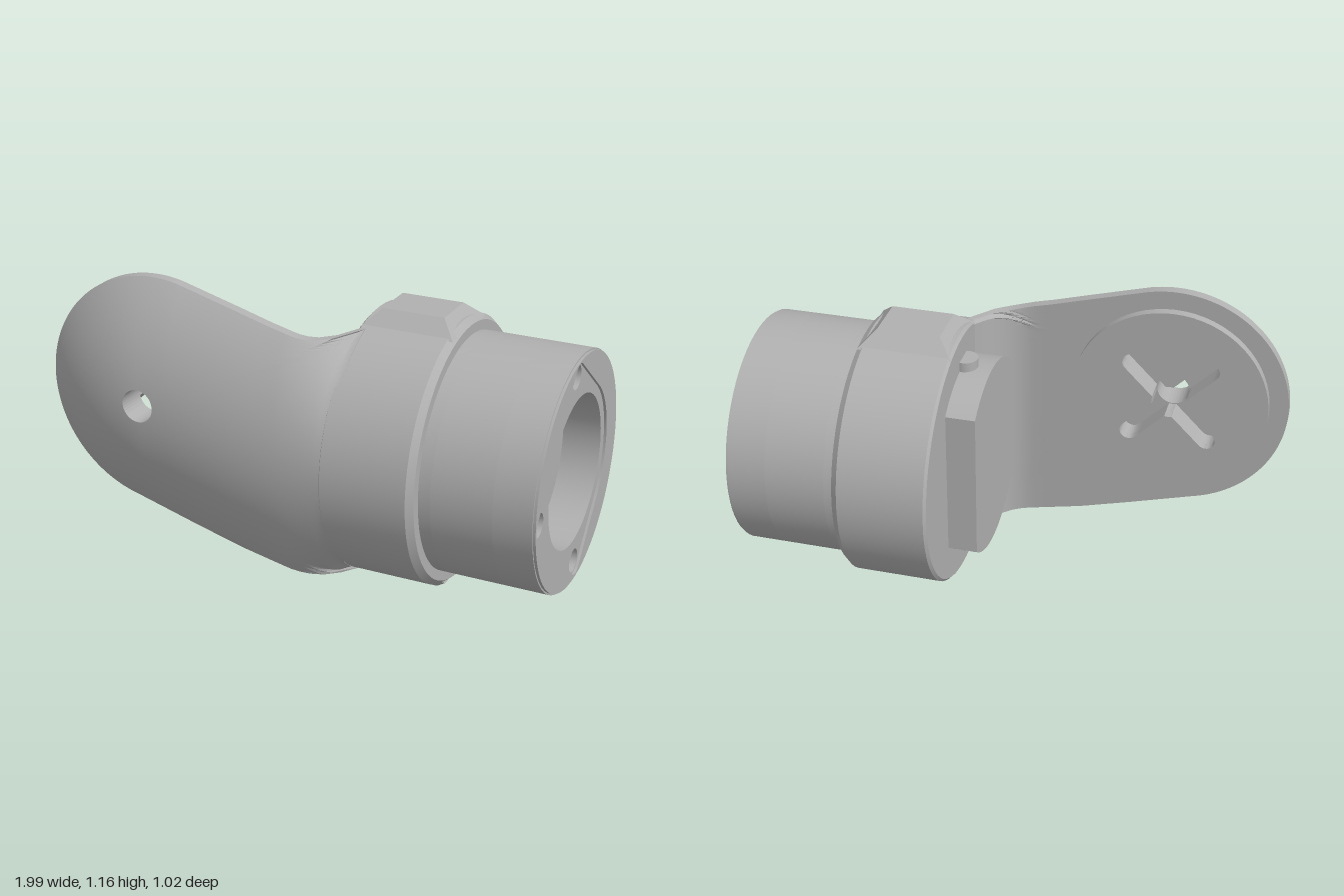
import * as THREE from 'three';
import { toCreasedNormals } from 'three/addons/utils/BufferGeometryUtils.js';

const AXIS_Y = 0.545;                       // height of the barrel axis
const PIVOT = { x: -0.545, y: 0.71, r: 0.455 }; // round end of the arm
const BOLT_R = 0.063;

const lerp = THREE.MathUtils.lerp;
function table(points, x) {
  for (let i = 1; i < points.length; i++) {
    const [x0, y0] = points[i - 1], [x1, y1] = points[i];
    if (x <= x1) return lerp(y0, y1, (x - x0) / (x1 - x0));
  }
  return points[points.length - 1][1];
}
const discHalf = (x) => Math.sqrt(Math.max(0, PIVOT.r ** 2 - (x - PIVOT.x) ** 2));

// Arm silhouette, rim and curved faces
const TOP = [[-0.43, 1.15], [-0.2, 1.087], [-0.08, 1.053], [0, 1.033], [0.05, 1.02], [0.1, 1.015], [0.15, 1.018], [0.19, 1.03], [0.3, 1.03]];
const BOTTOM = [[-0.66, 0.27], [-0.4, 0.195], [-0.2, 0.14], [0, 0.097], [0.22, 0.06]];
const armTop = (x) => (x < -0.43 ? PIVOT.y + discHalf(x) : table(TOP, x));
const armBottom = (x) => (x < -0.66 ? PIVOT.y - discHalf(x) : table(BOTTOM, x));
function innerZ(x) {
  const f = THREE.MathUtils.clamp(x, 0, 0.19);
  return 0.32 - (0.19 - Math.sqrt(0.19 ** 2 - f * f));
}
function outerZ(x, y) {
  const top = armTop(x), bottom = armBottom(x), edge = innerZ(x) + 0.04;
  const d = Math.min(0, x - PIVOT.x), R0 = 0.786;
  const crown = 0.507 - R0 + Math.sqrt(R0 * R0 - d * d);
  const h = (top - bottom) / 2, s = Math.max(crown - edge, 1e-4);
  const R = (h * h + s * s) / (2 * s);
  return crown - R + Math.sqrt(Math.max(0, R * R - (y - (top + bottom) / 2) ** 2));
}
function armReach(a) {
  let lo = 0, hi = 1.2;
  for (let i = 0; i < 40; i++) {
    const r = (lo + hi) / 2, x = PIVOT.x + r * Math.cos(a), y = PIVOT.y + r * Math.sin(a);
    if (x > -1 && x < 0.22 && y < armTop(x) && y > armBottom(x)) lo = r; else hi = r;
  }
  return lo;
}
// Radius of the cross-shaped slot in direction a
function slotReach(a) {
  const w = 0.036, c = 0.215, q = Math.PI / 2;
  const p = Math.abs((((a % q) + q) % q) - q / 2);
  const r = Math.tan(p) < w / c
    ? c * Math.cos(p) + Math.sqrt(Math.max(0, w * w - (c * Math.sin(p)) ** 2))
    : w / Math.sin(p);
  return Math.max(r, BOLT_R + 0.004);
}

// Arm: spokes around the bolt hole, each a closed loop over both faces
function armGeometry() {
  const SPOKES = 240, ROWS = 36, FLOOR = 0.385, pos = [], index = [];
  let count = 0;
  for (let i = 0; i < SPOKES; i++) {
    const a = (i / SPOKES) * Math.PI * 2, out = armReach(a), slot = slotReach(a);
    const put = (r, zOf) => {
      const x = PIVOT.x + r * Math.cos(a), y = PIVOT.y + r * Math.sin(a);
      pos.push(x, y, zOf(x, y));
    };
    const start = pos.length;
    for (let k = 0; k <= ROWS; k++) put(lerp(BOLT_R, out, k / ROWS), outerZ);
    for (let k = 0; k <= ROWS; k++) put(lerp(out, slot, k / ROWS), innerZ);
    put(slot, () => FLOOR);
    put(BOLT_R, () => FLOOR);
    count = (pos.length - start) / 3;
  }
  for (let i = 0; i < SPOKES; i++) {
    for (let j = 0; j < count; j++) {
      const n = (i + 1) % SPOKES, m = (j + 1) % count;
      const a = i * count + j, b = i * count + m, c = n * count + m, d = n * count + j;
      index.push(a, b, c, a, c, d);
    }
  }
  const g = new THREE.BufferGeometry();
  g.setAttribute('position', new THREE.Float32BufferAttribute(pos, 3));
  g.setIndex(index);
  return toCreasedNormals(g, 0.5);
}

// Shape helpers
function polar(n, fn) {
  return Array.from({ length: n }, (_, i) => {
    const a = (i / n) * Math.PI * 2, r = fn(a);
    return new THREE.Vector2(r * Math.cos(a), r * Math.sin(a));
  });
}
const circle = (r, u = 0, v = 0, n = 64) => polar(n, () => r).map((p) => p.set(p.x + u, p.y + v));
function extrude(outline, holes, depth) {
  const shape = new THREE.Shape(outline);
  holes.forEach((h) => shape.holes.push(new THREE.Path(h)));
  return toCreasedNormals(new THREE.ExtrudeGeometry(shape, { depth, bevelEnabled: false }), 0.5);
}
// Extrusion along +x between two stations, on the barrel axis
const tier = (x0, x1, outline, holes = []) =>
  extrude(outline, holes, x1 - x0).rotateY(Math.PI / 2).translate(x0, AXIS_Y, 0);

export function createModel() {
  const model = new THREE.Group();
  const grey = new THREE.MeshStandardMaterial({ color: 0xb0b0b0 });
  grey.name = 'grey';
  const add = (name, geometry) => {
    const mesh = new THREE.Mesh(geometry, grey);
    mesh.name = name;
    model.add(mesh);
    return mesh;
  };

  add('arm', armGeometry());

  // Round pad with the cross slot on the inner face of the arm
  add('pivotPad', extrude(circle(0.3825), [polar(240, slotReach)], 0.036)
    .translate(PIVOT.x, PIVOT.y, 0.285));

  // Collar
  const profile = [[0, 0.19], [0.5, 0.19], [0.51, 0.2], [0.51, 0.53], [0.49, 0.555], [0, 0.555]]
    .map(([r, x]) => new THREE.Vector2(r, x));
  add('collar', toCreasedNormals(new THREE.LatheGeometry(profile, 72), 0.5)
    .rotateZ(-Math.PI / 2).translate(0, AXIS_Y, 0));

  // Tapered tabs above and below the collar
  for (const side of [1, -1]) {
    const g = new THREE.BoxGeometry(0.36, 0.06, 0.314);
    const p = g.attributes.position;
    for (let i = 0; i < p.count; i++) {
      if (p.getY(i) > 0) { p.setX(i, p.getX(i) * 0.667); p.setZ(i, p.getZ(i) * 0.573); }
    }
    g.computeVertexNormals();
    if (side < 0) g.rotateX(Math.PI);
    g.translate(0.37, AXIS_Y + side * 0.51, 0);
    add(side > 0 ? 'topTab' : 'bottomTab', g);
  }

  // Barrel with a stepped bore, screw holes and a sunk end plate
  const screws = [[-0.05, 0.385], [-0.385, -0.04], [0.04, -0.38]];
  const rounds = [[0, 0, 0.33], ...screws.map(([u, v]) => [u, v, 0.052])];
  const plate = Array.from({ length: 144 }, (_, i) => {
    const a = (i / 144) * Math.PI * 2, c = Math.cos(a), s = Math.sin(a);
    const reach = ([u, v, r]) => u * c + v * s + r;
    const [u, v, r] = rounds.reduce((m, k) => (reach(k) > reach(m) ? k : m));
    return new THREE.Vector2(u + r * c, v + r * s);
  });
  add('barrelBase', tier(0.54, 0.6, circle(0.452)));
  add('barrelBody', tier(0.6, 0.83, circle(0.452), [circle(0.225)]));
  add('barrelHead', tier(0.83, 0.976, circle(0.452),
    [circle(0.29), ...screws.map(([u, v]) => circle(0.046, u, v, 24))]));
  add('barrelRim', tier(0.976, 0.986, circle(0.446), [plate]));
  screws.forEach(([u, v]) =>
    add('screwSeat', tier(0.85, 0.93, circle(0.047, u, v, 24), [circle(0.027, u, v, 20)])));

  // Block standing inside the bore
  add('boreBlock', new THREE.BoxGeometry(0.1, 0.3, 0.2).translate(0.64, AXIS_Y + 0.06, 0));

  // Rear housing: a disc with two flat sides
  const flats = circle(0.38).map((p) => p.set(THREE.MathUtils.clamp(p.x, -0.28, 0.24), p.y));
  add('rearHousing', tier(0.077, 0.2, flats));
  add('rearPin', new THREE.CylinderGeometry(0.048, 0.048, 0.12, 24).translate(0.18, 0.9, 0));

  return model;
}
